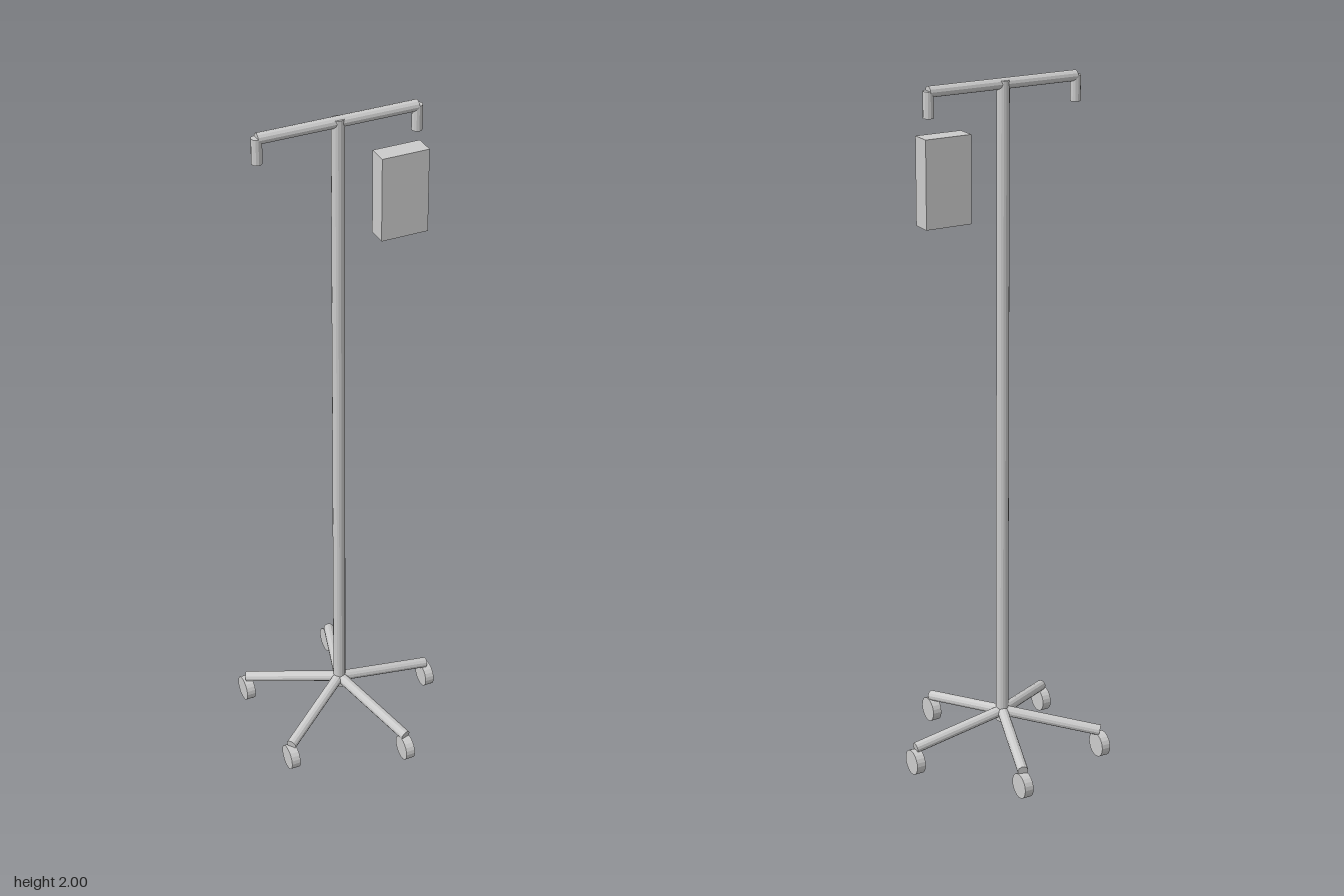
import * as THREE from 'three';

const material = new THREE.MeshStandardMaterial({ color: 0xcccccc, flatShading: true });
const POLE_X = -0.028;

function addMesh(parent, name, geometry, x = 0, y = 0, z = 0) {
  const mesh = new THREE.Mesh(geometry, material);
  mesh.name = name;
  mesh.position.set(x, y, z);
  parent.add(mesh);
  return mesh;
}

// Straight tube between two points
function addTube(parent, name, from, to, radius, sides = 12) {
  const a = new THREE.Vector3(...from);
  const b = new THREE.Vector3(...to);
  const dir = b.clone().sub(a);
  const mesh = addMesh(parent, name, new THREE.CylinderGeometry(radius, radius, dir.length(), sides));
  mesh.position.copy(a).lerp(b, 0.5);
  mesh.quaternion.setFromUnitVectors(new THREE.Vector3(0, 1, 0), dir.normalize());
  return mesh;
}

export function createModel() {
  const model = new THREE.Group();
  model.name = 'dripStand';

  // Upright
  addTube(model, 'pole', [POLE_X, 0.1, 0], [POLE_X, 1.994, 0], 0.018, 16);

  // Crossbar with a hook hanging at each end
  const reach = 0.226;
  const barY = 1.9845;
  addTube(model, 'crossbar', [POLE_X - reach, barY, 0], [POLE_X + reach, barY, 0], 0.0155);
  for (const side of [-1, 1]) {
    const x = POLE_X + side * reach;
    addTube(model, side < 0 ? 'rightHook' : 'leftHook', [x, 1.915, 0], [x, 1.987, 0], 0.0148);
  }

  // Box hanging under the left hook
  addMesh(model, 'pumpBox', new THREE.BoxGeometry(0.137, 0.244, 0.058), 0.1535, 1.743, 0);

  // Five sloping legs, each on a wheel that rolls front to back
  const base = new THREE.Group();
  base.name = 'base';
  base.position.x = POLE_X;
  model.add(base);
  const wheelGeometry = new THREE.CylinderGeometry(0.0365, 0.0365, 0.027, 20).rotateZ(Math.PI / 2);
  for (let i = 0; i < 5; i++) {
    const angle = (i / 5) * Math.PI * 2;
    const x = 0.288 * Math.cos(angle);
    const z = 0.288 * Math.sin(angle);
    addTube(base, 'leg', [0, 0.13, 0], [x, 0.08, z], 0.0155);
    addMesh(base, 'wheel', wheelGeometry, x, 0.0365, z);
  }
  return model;
}
